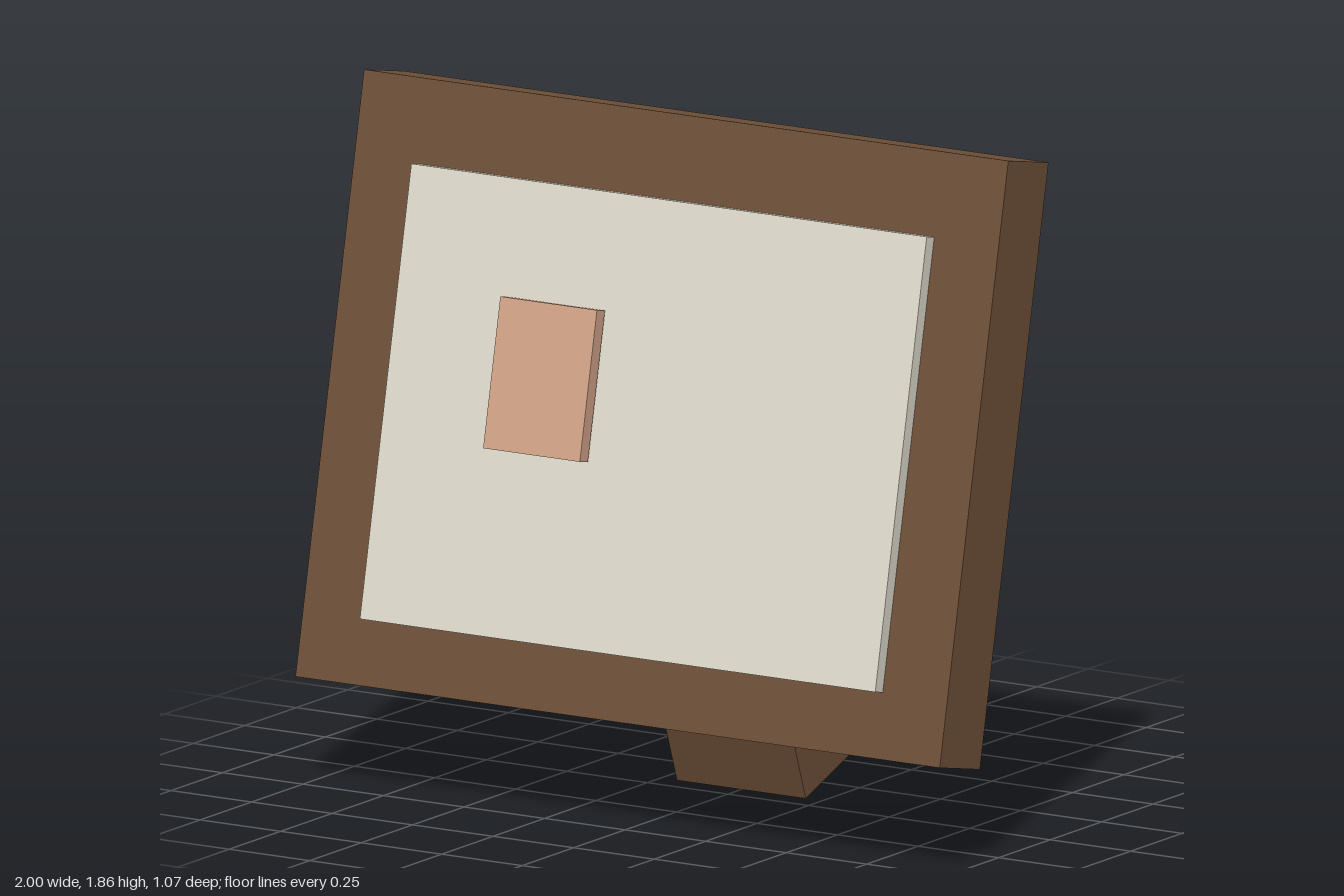
import * as THREE from 'three';

const brown = new THREE.MeshStandardMaterial({ name: 'brown wood', color: 0x6f5139 });
const cream = new THREE.MeshStandardMaterial({ name: 'cream paper', color: 0xe0dbce });
const tan = new THREE.MeshStandardMaterial({ name: 'light tan', color: 0xd3a588 });

const LEAN = -0.21; // the board tips backwards
const CENTER = { y: 1.058, z: 0.272 };

// Box of the given size, tilted about the x axis
function tiltedBox(name, material, size, position, tilt) {
  const mesh = new THREE.Mesh(new THREE.BoxGeometry(...size), material);
  mesh.name = name;
  mesh.position.set(...position);
  mesh.rotation.x = tilt;
  return mesh;
}

export function createModel() {
  const group = new THREE.Group();
  group.name = 'standingFrame';
  const { y, z } = CENTER;
  group.add(
    // Leaning board with a raised panel and a small plate on it
    tiltedBox('frame', brown, [2, 1.6, 0.2], [0, y, z], LEAN),
    tiltedBox('panel', cream, [1.6, 1.2, 0.04], [0, y, z + 0.12], LEAN),
    tiltedBox('smallPlate', tan, [0.3, 0.4, 0.04], [-0.3, y + 0.1, z + 0.152], LEAN),
    // Rear support leg, leaning into the back of the board
    tiltedBox('supportLeg', brown, [0.4, 1, 0.5], [0, 0.556, -0.129], Math.PI / 9),
  );
  return group;
}
